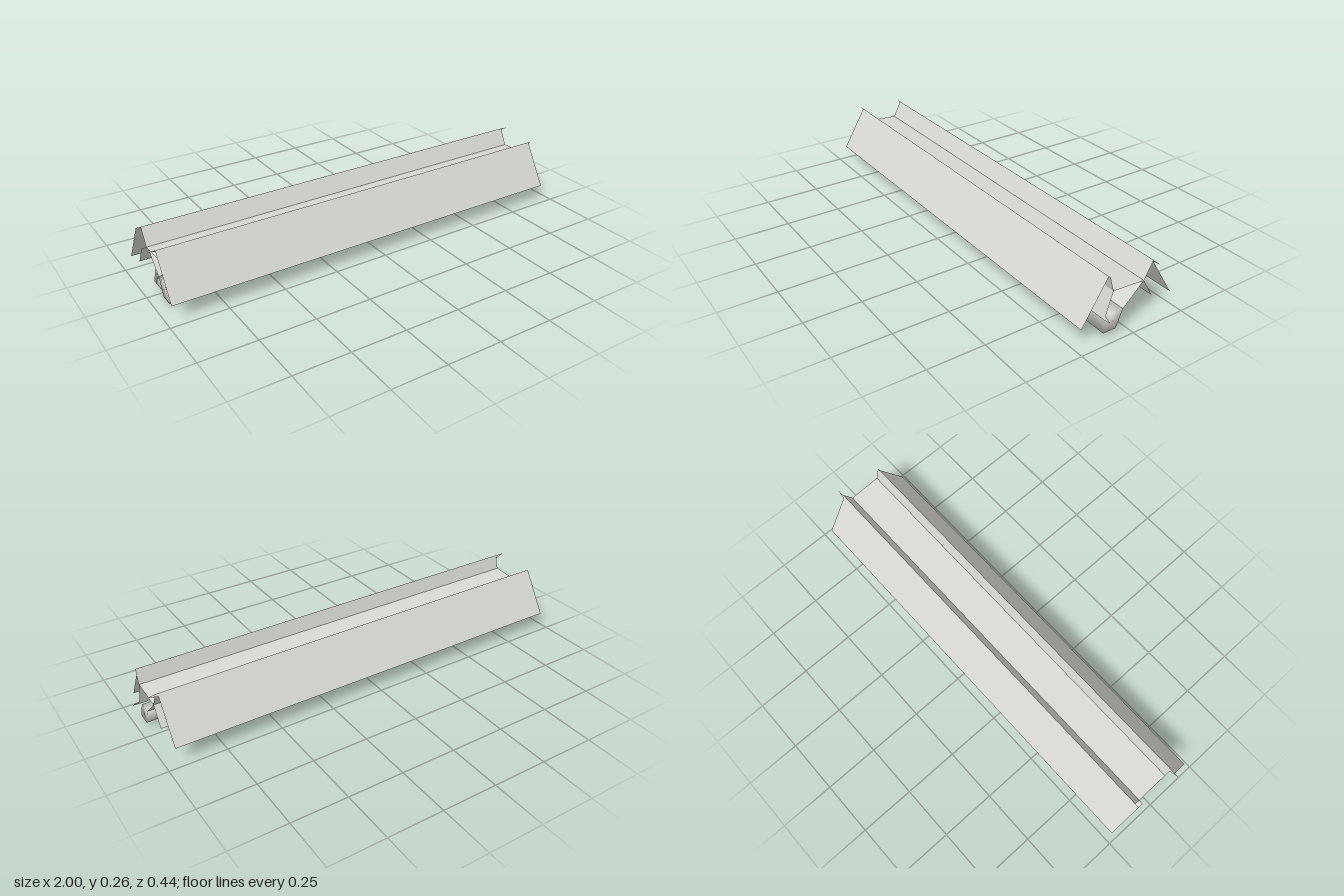
import * as THREE from 'three';
import { mergeVertices } from 'three/addons/utils/BufferGeometryUtils.js';

const grey = new THREE.MeshStandardMaterial({ color: 0xd8d9d2, side: THREE.DoubleSide });
grey.name = 'light grey';

// Thin sheet from edge a to edge b, each [z, y], running along x
function sheet(name, a, b, x0, x1) {
  return polygon(name, [[x0, ...a], [x0, ...b], [x1, ...b], [x1, ...a]]);
}

// Flat polygon from [x, z, y] corners, drawn as a fan
function polygon(name, corners) {
  const geo = new THREE.BufferGeometry();
  const pos = [], index = [];
  corners.forEach(([x, z, y]) => pos.push(x, y, z));
  for (let i = 1; i < corners.length - 1; i++) index.push(0, i, i + 1);
  geo.setAttribute('position', new THREE.Float32BufferAttribute(pos, 3));
  geo.setIndex(index);
  geo.computeVertexNormals();
  const mesh = new THREE.Mesh(geo, grey);
  mesh.name = name;
  return mesh;
}

// Solid bar with a [z, y] cross-section, running along x, with smooth normals
function bar(name, section, x0, x1) {
  const shape = new THREE.Shape(section.map(([z, y]) => new THREE.Vector2(-z, y)));
  const extruded = new THREE.ExtrudeGeometry(shape, { depth: x1 - x0, bevelEnabled: false });
  extruded.rotateY(Math.PI / 2).translate(x0, 0, 0);
  extruded.deleteAttribute('normal').deleteAttribute('uv');
  const geo = mergeVertices(extruded);
  geo.computeVertexNormals();
  const mesh = new THREE.Mesh(geo, grey);
  mesh.name = name;
  return mesh;
}

export function createModel() {
  const group = new THREE.Group();
  group.name = 'channelHousing';

  // Edges of the folded sheets
  const frontTop = [0.105, 0.265], frontFoot = [0.22, 0.075];
  const backTop = [-0.105, 0.265], backFoot = [-0.225, 0.075];
  const floorFront = [0.086, 0.2], floorBack = [-0.065, 0.19];
  const skirtFront = [0.12, 0.085], skirtBack = [-0.115, 0.105];

  // Sloped outer covers
  group.add(sheet('frontCover', frontTop, frontFoot, -0.975, 0.955));
  group.add(sheet('backCover', backTop, backFoot, -0.975, 0.955));

  // Open gutter between the covers
  group.add(sheet('gutterFrontWall', frontTop, floorFront, -0.955, 0.965));
  group.add(sheet('gutterBackWall', backTop, floorBack, -0.955, 0.965));
  group.add(sheet('gutterFloor', floorFront, floorBack, -0.955, 0.965));

  // Inner skirts below the gutter, and the web that carries the rail
  group.add(sheet('frontSkirt', floorFront, skirtFront, -0.955, 0.965));
  group.add(sheet('backSkirt', floorBack, skirtBack, -0.975, 0.965));
  group.add(sheet('railWeb', floorBack, [0.03, 0.1], -0.95, 0.965));

  // Pointed tabs at the sheet corners
  group.add(polygon('frontTopTab', [[-0.955, ...frontTop], [-1, ...frontTop], [-0.955, 0.1, 0.25]]));
  group.add(polygon('backTopTab', [[0.955, ...backTop], [1, -0.107, 0.261], [0.955, -0.111, 0.253]]));
  group.add(polygon('frontSkirtTab', [[0.96, ...skirtFront], [1, 0.119, 0.088], [0.96, 0.114, 0.1]]));

  // Slanted rail along the whole length
  group.add(bar('slantedRail', [[0.12, 0.025], [0.09, 0.1], [0.03, 0.1], [0.06, 0.025]], -0.95, 0.965));

  // Short bracket beside the rail, with its hooked leg and foot
  group.add(bar('hookBracket', [[0.05, 0.1], [-0.033, 0.1], [-0.063, 0.025], [-0.04, 0.025],
    [-0.015, 0.07], [0.015, 0.07], [0.032, 0.025], [0.06, 0.025]], -0.94, -0.165));
  group.add(bar('bracketFoot', [[0.09, 0], [0.09, 0.03], [0.03, 0.03], [0.03, 0]], -0.94, -0.165));
  // Stop block inside the hook
  group.add(bar('hookStop', [[0.02, 0.025], [0.015, 0.075], [-0.015, 0.075], [-0.04, 0.025]], -0.94, -0.9));

  return group;
}
